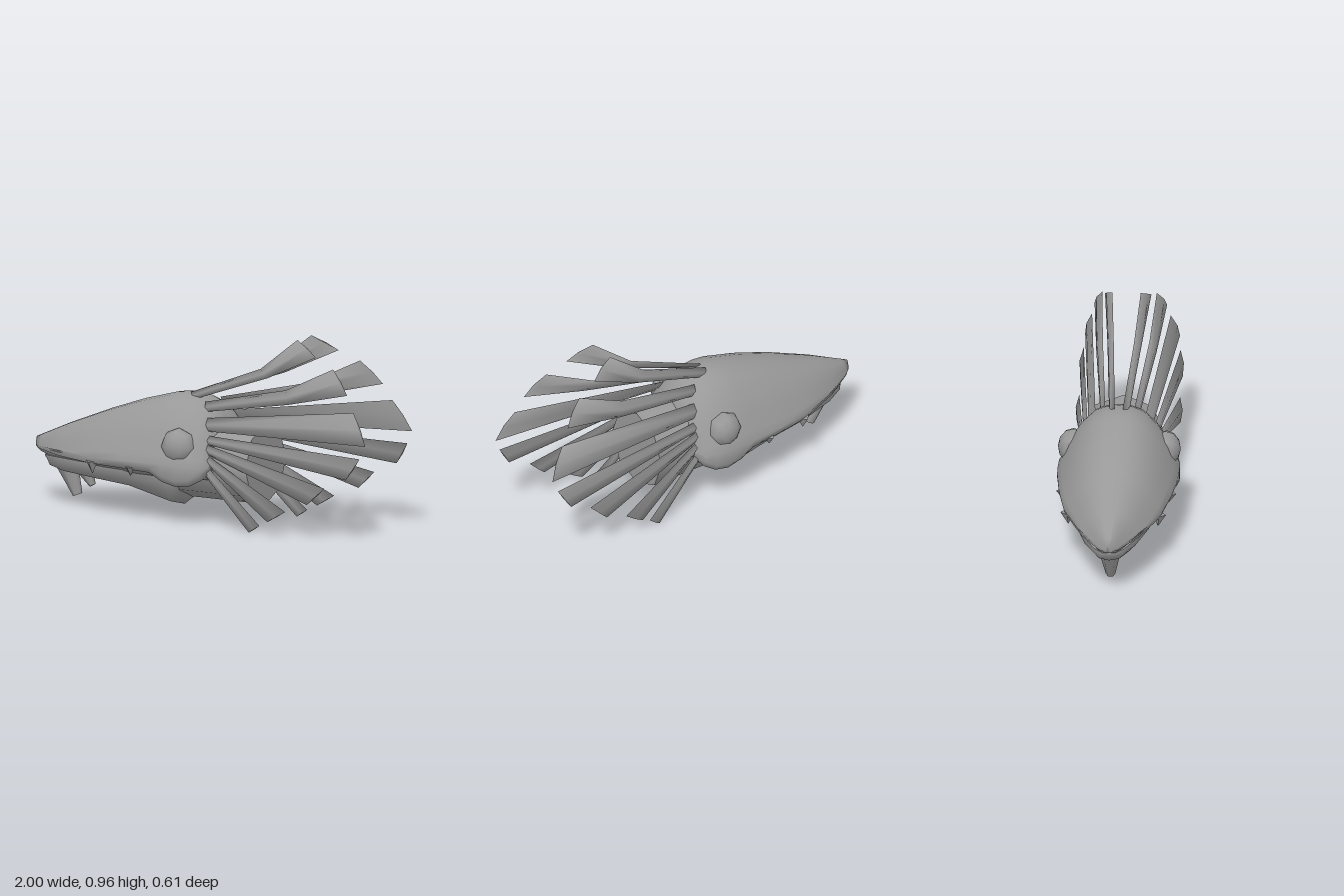
import * as THREE from 'three';
import { toCreasedNormals } from 'three/addons/utils/BufferGeometryUtils.js';

const material = new THREE.MeshStandardMaterial({ color: 0x999999 });

// Closed skin over a row of equal-length rings of [x, y, z], capped at both ends.
function loft(rings, crease) {
  const n = rings[0].length, pos = rings.flat(2), tris = [];
  for (let i = 0; i < rings.length - 1; i++) {
    for (let j = 0; j < n; j++) {
      const a = i * n + j, b = i * n + (j + 1) % n;
      tris.push([a, b, a + n], [b, b + n, a + n]);
    }
  }
  const last = (rings.length - 1) * n;
  for (let j = 1; j < n - 1; j++) {
    tris.push([0, j + 1, j], [last, last + j, last + j + 1]);
  }
  // Signed volume tells whether the faces point outward.
  const p = (i) => new THREE.Vector3().fromArray(pos, i * 3);
  const volume = tris.reduce((s, [a, b, c]) => s + p(a).dot(p(b).cross(p(c))), 0);
  if (volume < 0) tris.forEach((t) => t.reverse());
  const g = new THREE.BufferGeometry();
  g.setAttribute('position', new THREE.Float32BufferAttribute(pos, 3));
  g.setIndex(tris.flat());
  return toCreasedNormals(g, crease);
}

// Full ring from one half section: [z, y] from top centre to bottom centre.
function mirroredRing(x, half) {
  const right = half.map(([z, y]) => [x, y, z]);
  const left = half.slice(1, -1).reverse().map(([z, y]) => [x, y, -z]);
  return [...right, ...left];
}

function add(parent, name, geometry) {
  const mesh = new THREE.Mesh(geometry, material);
  mesh.name = name;
  parent.add(mesh);
  return mesh;
}

// Tapered tooth between two points.
function tooth(parent, name, from, to, r0, r1, sides) {
  const a = new THREE.Vector3(...from), b = new THREE.Vector3(...to);
  const dir = b.clone().sub(a);
  const g = new THREE.CylinderGeometry(r1, r0, dir.length(), sides);
  const mesh = add(parent, name, toCreasedNormals(g, 1.2));
  mesh.position.copy(a).add(b).multiplyScalar(0.5);
  mesh.quaternion.setFromUnitVectors(new THREE.Vector3(0, 1, 0), dir.normalize());
}

// Thin soft-shaded blade: stations hold the upper and lower edge points.
function feather(stations, side) {
  const t = 0.011;
  return loft(stations.map(([u, l]) => {
    const mid = u.map((v, k) => (v + l[k]) / 2);
    const flip = ([x, y, z]) => [x, y, z * side];
    return [u, [mid[0], mid[1], mid[2] + t], l, [mid[0], mid[1], mid[2] - t]].map(flip);
  }), Math.PI);
}

export function createModel() {
  const model = new THREE.Group();
  model.name = 'creatureHead';

  // Skull and upper jaw: x, crown height, rim height, half width
  const skull = [
    [-1, 0.32, 0.275, 0.015], [-0.96, 0.338, 0.267, 0.05], [-0.8, 0.41, 0.263, 0.15],
    [-0.57, 0.503, 0.262, 0.245], [-0.38, 0.57, 0.262, 0.28], [-0.2, 0.62, 0.258, 0.3],
    [-0.13, 0.627, 0.22, 0.302], [-0.05, 0.62, 0.2, 0.3], [0.02, 0.592, 0.208, 0.288],
    [0.07, 0.545, 0.235, 0.262], [0.105, 0.47, 0.28, 0.22],
  ].map(([x, top, rim, w]) => {
    const base = Math.max(0.265, rim);
    const y = (f) => base + (top - base) * f;
    const lip = Math.min(0.03, (top - rim) * 0.2);
    const palate = base - Math.min(0.035, w * 0.25);
    return mirroredRing(x, [
      [0, top], [w * 0.2, y(0.98)], [w * 0.4, y(0.91)], [w * 0.63, y(0.71)], [w * 0.81, y(0.47)],
      [w * 0.93, y(0.24)], [w, y(0.12)], [w, rim + lip], [w * 0.95, rim],
      [w * 0.8, rim + 0.005], [w * 0.72, palate], [0, palate],
    ]);
  });
  add(model, 'skull', loft(skull, 1.3));

  // Lower jaw: x, upper edge, keel height, half width
  const jaw = [
    [-0.94, 0.24, 0.225, 0.03], [-0.9, 0.245, 0.18, 0.075], [-0.8, 0.25, 0.16, 0.125],
    [-0.6, 0.25, 0.147, 0.18], [-0.4, 0.25, 0.13, 0.205], [-0.16, 0.26, 0.058, 0.205],
    [-0.12, 0.26, 0.09, 0.2], [-0.1, 0.26, 0.2, 0.18],
  ].map(([x, top, keel, w]) => {
    const h = top - keel;
    return mirroredRing(x, [[0, top], [w, top], [w, keel + h * 0.65], [w * 0.67, keel + h * 0.17], [0, keel]]);
  });
  add(model, 'lowerJaw', loft(jaw, 1.2));

  // Eight-sided neck
  const neck = add(model, 'neck', toCreasedNormals(new THREE.CylinderGeometry(0.203, 0.203, 0.42, 8), 1.2));
  neck.rotation.z = Math.PI / 2;
  neck.position.set(0.09, 0.302, 0);

  // Front fangs
  tooth(model, 'largeFang', [-0.835, 0.21, 0], [-0.77, 0.045, 0], 0.058, 0.024, 6);
  tooth(model, 'smallFang', [-0.735, 0.19, 0], [-0.685, 0.1, 0], 0.045, 0.016, 6);

  // Frill feathers: root, optional bend and tip, each as [upper edge, lower edge]
  const feathers = [
    [[[-0.11, 0.63, 0.02], [-0.08, 0.6, 0.05]], [[0.3, 0.79, 0.05], [0.36, 0.755, 0.085]], [[0.52, 0.96, 0.07], [0.65, 0.89, 0.115]]],
    [[[0, 0.6, 0.075], [0.02, 0.555, 0.1]], [[0.48, 0.71, 0.115], [0.51, 0.645, 0.15]], [[0.76, 0.845, 0.135], [0.865, 0.73, 0.18]]],
    [[[0.04, 0.53, 0.125], [0.05, 0.47, 0.16]], [[0.91, 0.65, 0.195], [1, 0.495, 0.235]]],
    [[[0.06, 0.45, 0.165], [0.06, 0.41, 0.185]], [[0.97, 0.43, 0.24], [0.9, 0.32, 0.255]]],
    [[[0.07, 0.41, 0.19], [0.06, 0.37, 0.2]], [[0.775, 0.265, 0.25], [0.68, 0.175, 0.258]]],
    [[[0.07, 0.365, 0.2], [0.06, 0.33, 0.21]], [[0.55, 0.125, 0.245], [0.45, 0.065, 0.248]]],
    [[[0.07, 0.32, 0.21], [0.05, 0.285, 0.215]], [[0.4, 0.04, 0.24], [0.34, 0, 0.24]]],
  ];

  for (const side of [1, -1]) {
    // Eye
    const eye = add(model, 'eye', new THREE.SphereGeometry(0.093, 8, 6));
    eye.rotation.x = side * Math.PI / 2;
    eye.scale.y = 0.8;
    eye.position.set(-0.063, 0.395, side * 0.23);

    // Small upper teeth along the rim
    tooth(model, 'upperTooth', [-0.56, 0.275, side * 0.228], [-0.56, 0.212, side * 0.222], 0.034, 0.002, 4);
    tooth(model, 'upperTooth', [-0.32, 0.275, side * 0.268], [-0.32, 0.228, side * 0.262], 0.03, 0.002, 4);

    const frill = new THREE.Group();
    frill.name = side > 0 ? 'frontFrill' : 'backFrill';
    feathers.forEach((f) => add(frill, 'frillFeather', feather(f, side)));
    model.add(frill);
  }
  return model;
}
